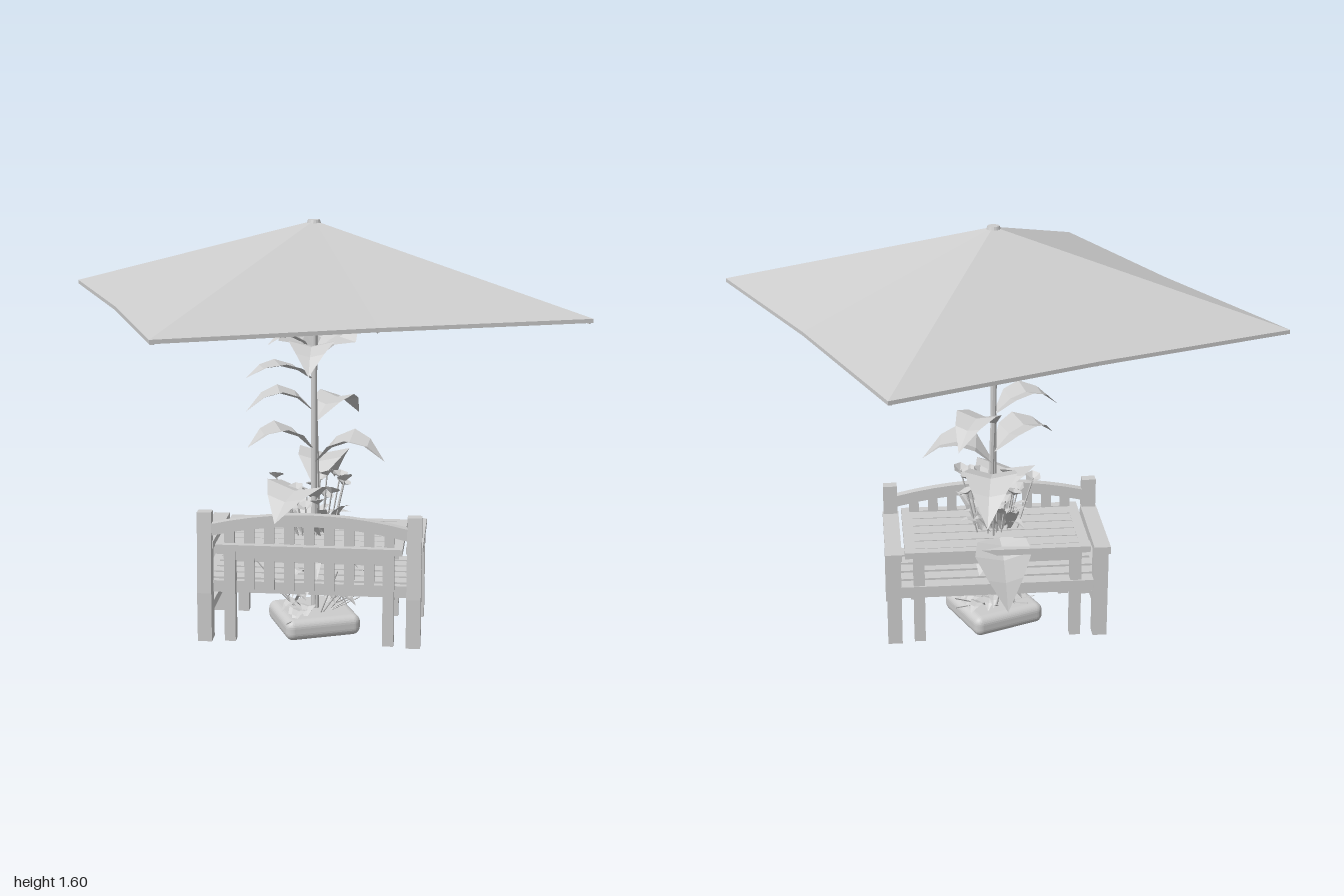
import * as THREE from 'three';
import { RoundedBoxGeometry } from 'three/addons/geometries/RoundedBoxGeometry.js';

const V = (x, y, z) => new THREE.Vector3(x, y, z);

export function createModel() {
  const model = new THREE.Group();
  const grey = new THREE.MeshStandardMaterial({ color: 0xcccccc, side: THREE.DoubleSide, flatShading: true });
  grey.name = 'pale grey';
  let seed = 7;
  const rand = (a, b) => {
    seed = (seed * 16807) % 2147483647;
    return a + (b - a) * seed / 2147483647;
  };

  const group = (name) => {
    const g = new THREE.Group();
    g.name = name;
    model.add(g);
    return g;
  };
  const add = (parent, name, geo, x = 0, y = 0, z = 0) => {
    const m = new THREE.Mesh(geo, grey);
    m.name = name;
    m.position.set(x, y, z);
    parent.add(m);
    return m;
  };
  const box = (parent, name, w, h, d, x, y, z) => add(parent, name, new THREE.BoxGeometry(w, h, d), x, y, z);
  const rod = (parent, name, a, b, r, sides = 6) => {
    const m = add(parent, name, new THREE.CylinderGeometry(r, r, a.distanceTo(b), sides));
    m.position.copy(a).lerp(b, 0.5);
    m.quaternion.setFromUnitVectors(V(0, 1, 0), b.clone().sub(a).normalize());
    return m;
  };

  // Parasol: eight-panel canopy, ribs, struts, pole and base, all turned a little
  const parasol = group('parasol');
  parasol.rotation.y = Math.PI / 8;
  const rim = [];
  for (let i = 0; i < 8; i++) {
    const a = i * Math.PI / 4, r = i % 2 ? 1.08 : 0.745;
    rim.push(V(Math.sin(a) * r, 1.315, Math.cos(a) * r));
  }
  const apex = V(0, 1.6, 0), hem = V(0, -0.014, 0), pts = [];
  rim.forEach((p, i) => {
    const q = rim[(i + 1) % 8], p2 = p.clone().add(hem), q2 = q.clone().add(hem);
    pts.push(apex, p, q, p, p2, q2, p, q2, q);
  });
  const canopy = new THREE.BufferGeometry().setFromPoints(pts);
  canopy.computeVertexNormals();
  add(parasol, 'canopy', canopy);
  add(parasol, 'canopyCap', new THREE.CylinderGeometry(0.022, 0.026, 0.012, 16), 0, 1.598, 0);
  rim.forEach((p) => {
    const drop = V(0, -0.012, 0);
    rod(parasol, 'rib', V(0, 1.575, 0), p.clone().add(drop).multiply(V(0.99, 1, 0.99)), 0.009, 4);
    rod(parasol, 'strut', V(0, 1.36, 0), apex.clone().lerp(p, 0.48).add(drop), 0.007, 4);
  });
  add(parasol, 'upperHub', new THREE.CylinderGeometry(0.03, 0.03, 0.04, 12), 0, 1.56, 0);
  add(parasol, 'runner', new THREE.CylinderGeometry(0.028, 0.028, 0.05, 12), 0, 1.36, 0);
  add(parasol, 'pole', new THREE.CylinderGeometry(0.011, 0.011, 1.59, 12), 0, 0.795, 0);
  add(parasol, 'base', new RoundedBoxGeometry(0.295, 0.08, 0.295, 4, 0.03), 0, 0.068, 0);

  // Bench, opening towards -z
  const bench = group('bench');
  for (const s of [-1, 1]) {
    const post = new THREE.Shape([[0.145, 0.03], [0.21, 0.03], [0.21, 0.22], [0.19, 0.53], [0.15, 0.53], [0.15, 0.25]]
      .map(([z, y]) => new THREE.Vector2(-z, y)));
    const postGeo = new THREE.ExtrudeGeometry(post, { depth: 0.054, bevelEnabled: false });
    postGeo.translate(0, 0, -0.027).rotateY(Math.PI / 2);
    add(bench, 'backPost', postGeo, s * 0.393);
    box(bench, 'frontLeg', 0.054, 0.36, 0.055, s * 0.393, 0.21, -0.175);
    box(bench, 'armrest', 0.062, 0.028, 0.40, s * 0.393, 0.4, -0.025);
    box(bench, 'sideRail', 0.03, 0.05, 0.34, s * 0.393, 0.24, 0);
    box(bench, 'sideStretcher', 0.03, 0.035, 0.34, s * 0.393, 0.133, 0);
  }
  for (let i = 0; i < 5; i++) box(bench, 'seatSlat', 0.76, 0.02, 0.055, 0, 0.255, -0.17 + i * 0.07);
  for (const z of [-0.17, 0.15]) box(bench, 'seatRail', 0.75, 0.045, 0.025, 0, 0.235, z);
  const arch = new THREE.Shape();
  arch.moveTo(-0.37, 0.44);
  arch.lineTo(-0.37, 0.485);
  arch.quadraticCurveTo(0, 0.575, 0.37, 0.485);
  arch.lineTo(0.37, 0.44);
  arch.quadraticCurveTo(0, 0.53, -0.37, 0.44);
  add(bench, 'archedTopRail', new THREE.ExtrudeGeometry(arch, { depth: 0.032, bevelEnabled: false, curveSegments: 10 }), 0, 0, 0.158);
  for (let i = -4; i <= 4; i++) {
    const x = i * 0.075, top = 0.5 - x * x * 0.33;
    box(bench, 'backSlat', 0.038, top - 0.23, 0.016, x, (top + 0.23) / 2, 0.173);
  }

  // Plank table standing within the bench
  const table = group('table');
  for (let i = 0; i < 5; i++) box(table, 'plank', 0.62, 0.022, 0.062, 0, 0.4, -0.136 + i * 0.068);
  for (const s of [-1, 1]) {
    box(table, 'topEdge', 0.7, 0.024, 0.035, 0, 0.4, s * 0.19);
    box(table, 'topEnd', 0.04, 0.024, 0.36, s * 0.33, 0.4, 0);
    box(table, 'apron', 0.58, 0.04, 0.02, 0, 0.365, s * 0.17);
    box(table, 'endApron', 0.02, 0.04, 0.34, s * 0.298, 0.365, 0);
    for (const z of [-0.17, 0.175]) box(table, 'tableLeg', 0.042, 0.36, 0.042, s * 0.298, 0.21, z);
  }

  // Leaf: a plane bent along an arched midrib, with folded, tapering sides
  const widths = [0.1, 0.85, 1, 0.62, 0];
  const leaf = (parent, name, base, tip, rise, width) => {
    const mid = base.clone().lerp(tip, 0.5).add(V(0, rise * 2, 0));
    const curve = new THREE.QuadraticBezierCurve3(base, mid, tip);
    const side = V(tip.z - base.z, 0, base.x - tip.x).normalize();
    const geo = new THREE.PlaneGeometry(2, 4, 2, 4), pos = geo.attributes.position;
    for (let i = 0; i < pos.count; i++) {
      const row = Math.floor(i / 3), s = (i % 3) - 1, w = widths[row] * width / 2;
      const p = curve.getPoint(row / 4).addScaledVector(side, s * w);
      pos.setXYZ(i, p.x, p.y + Math.abs(s) * w * 0.25, p.z);
    }
    geo.computeVertexNormals();
    return add(parent, name, geo);
  };

  // Tall flower: stem bending over at the top
  const tall = group('tallFlower');
  const stem = new THREE.CatmullRomCurve3([V(0.01, 0.08, 0), V(0.01, 0.6, -0.01), V(0, 0.95, -0.02),
    V(0, 1.13, -0.04), V(0, 1.24, -0.085), V(0, 1.275, -0.13), V(0, 1.27, -0.17)]);
  add(tall, 'stem', new THREE.TubeGeometry(stem, 28, 0.01, 6));
  // base height, tip x, y, z, rise, width
  [[1.1, 0.2, 1.17, -0.15, 0.04, 0.12], [1.1, 0, 1.05, 0.19, 0.07, 0.17],
    [1.1, -0.17, 1.14, 0.05, 0.05, 0.11], [1.0, -0.24, 1.03, 0.12, 0.05, 0.13],
    [0.88, -0.25, 0.89, 0.06, 0.07, 0.16], [0.84, 0.15, 0.83, -0.26, 0.08, 0.16],
    [0.73, -0.24, 0.76, 0.1, 0.07, 0.18], [0.68, 0.27, 0.7, 0.02, 0.08, 0.22],
    [0.6, 0.05, 0.55, -0.32, 0.11, 0.2], [0.54, -0.12, 0.51, 0.25, 0.08, 0.24],
    [1.26, -0.08, 1.3, 0.09, 0.02, 0.09]].forEach(([y, tx, ty, tz, rise, w]) =>
    leaf(tall, 'broadLeaf', V(0, y, -0.01), V(tx, ty, tz), rise, w));
  leaf(tall, 'hangingLeaf', V(-0.01, 0.43, -0.14), V(-0.03, 0.19, -0.29), 0.06, 0.22);

  // Flower head facing -z and slightly down
  const head = new THREE.Group();
  head.name = 'flowerHead';
  head.position.set(0, 1.27, -0.175);
  head.rotation.x = Math.PI - 0.2;
  tall.add(head);
  const disc = add(head, 'seedDisc', new THREE.SphereGeometry(0.078, 20, 8, 0, Math.PI * 2, 0, Math.PI / 2));
  disc.rotation.x = Math.PI / 2;
  disc.scale.y = 0.35;
  const calyx = add(head, 'calyx', new THREE.CylinderGeometry(0.085, 0.03, 0.03, 16), 0, 0, -0.015);
  calyx.rotation.x = Math.PI / 2;
  const petalRing = new THREE.RingGeometry(0.06, 0.19, 16, 2), rp = petalRing.attributes.position;
  for (let i = 0; i < rp.count; i++) {
    const x = rp.getX(i), y = rp.getY(i), r = Math.hypot(x, y), a = Math.atan2(y, x);
    const k = r > 0.15 ? 1 + 0.1 * Math.cos(a * 8) : 1;
    rp.setXYZ(i, x * k, y * k, r > 0.15 ? 0.02 * Math.cos(a * 4) - 0.01 : 0);
  }
  petalRing.computeVertexNormals();
  add(head, 'petals', petalRing);

  // Small blossoms and foliage rising through the table
  const posy = group('posy');
  for (let i = 0; i < 16; i++) {
    const a = i * 2.4, r = rand(0.05, 0.16), y = rand(0.47, 0.66);
    const top = V(Math.cos(a) * r, y, Math.sin(a) * r);
    rod(posy, 'blossomStem', V(top.x * 0.4, 0.3, top.z * 0.4), top, 0.003, 4);
    const bloom = add(posy, 'blossom', new THREE.ConeGeometry(0.032, 0.018, 6, 1, true), top.x, top.y, top.z);
    bloom.rotation.set(Math.PI + rand(-0.5, 0.5), 0, rand(-0.5, 0.5));
    const b = a + 1;
    leaf(posy, 'posyLeaf', V(top.x * 0.4, 0.4, top.z * 0.4),
      V(Math.cos(b) * (r + 0.03), rand(0.43, 0.55), Math.sin(b) * (r + 0.03)), 0.03, 0.05);
  }

  // Undergrowth spilling around the base
  const undergrowth = group('undergrowth');
  for (let i = 0; i < 44; i++) {
    const a = i * 2.4, r = rand(0.1, 0.19), y = rand(0.1, 0.33), c = Math.cos(a), s = Math.sin(a);
    leaf(undergrowth, 'groundLeaf', V(c * r * 0.4, y, s * r * 0.4), V(c * r, y + rand(-0.04, 0.03), s * r), 0.03, rand(0.035, 0.075));
    if (i % 3 === 0) rod(undergrowth, 'sprig', V(c * 0.06, 0.1, s * 0.06), V(c * (r + 0.05), y, s * (r + 0.05)), 0.0025, 4);
  }
  return model;
}
